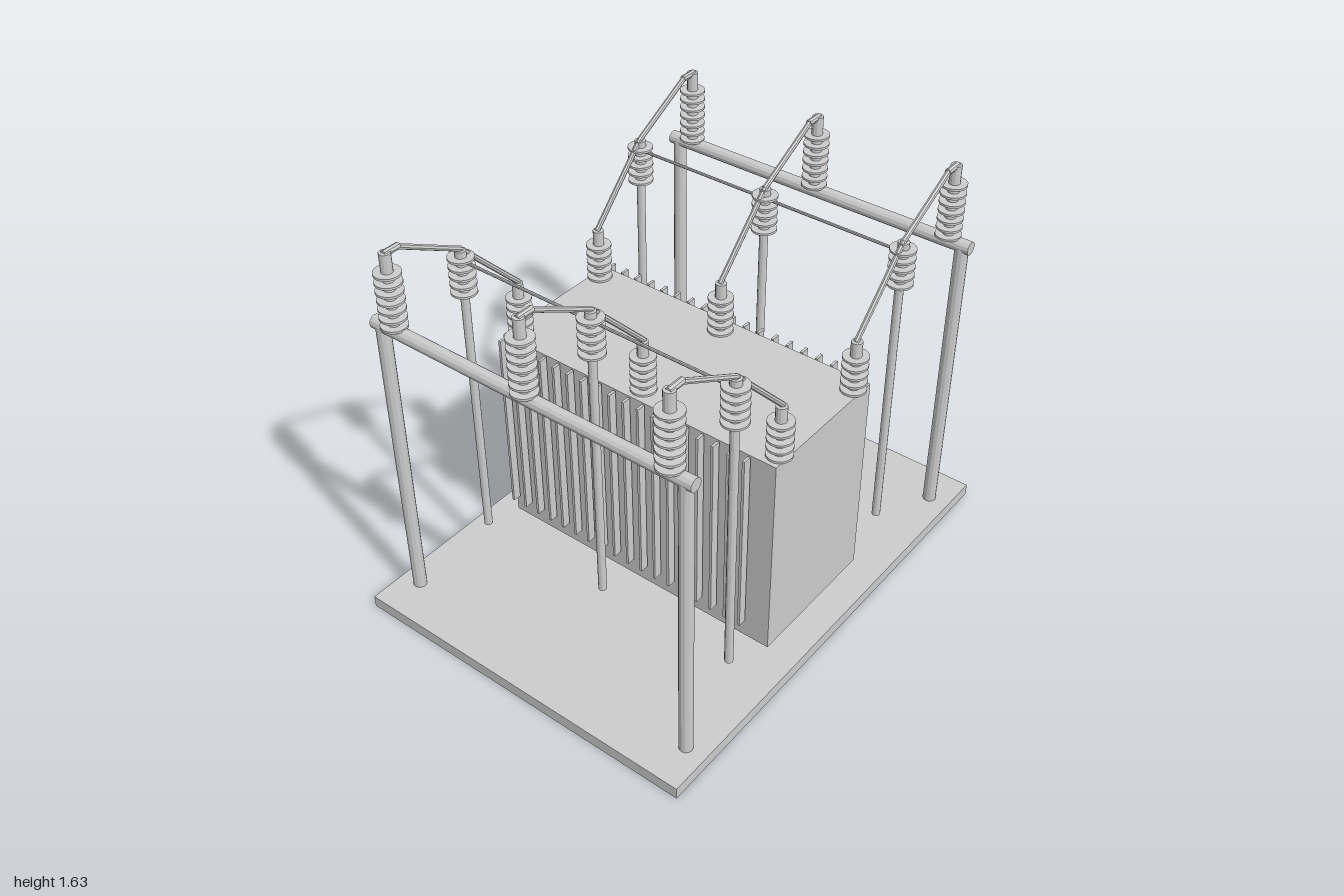
import * as THREE from 'three';

export function createModel() {
  const model = new THREE.Group();
  model.name = 'powerTransformer';
  const steel = new THREE.MeshStandardMaterial({ color: 0xcccccc, flatShading: true });
  steel.name = 'light grey';

  const add = (parent, name, geometry, x = 0, y = 0, z = 0) => {
    const mesh = new THREE.Mesh(geometry, steel);
    mesh.name = name;
    mesh.position.set(x, y, z);
    parent.add(mesh);
    return mesh;
  };

  // round bar between two points
  const up = new THREE.Vector3(0, 1, 0);
  const rod = (parent, name, from, to, radius, sides = 12) => {
    const a = new THREE.Vector3(...from), b = new THREE.Vector3(...to);
    const dir = b.clone().sub(a);
    const mid = a.clone().add(b).multiplyScalar(0.5);
    const bar = add(parent, name, new THREE.CylinderGeometry(radius, radius, dir.length(), sides), mid.x, mid.y, mid.z);
    bar.quaternion.setFromUnitVectors(up, dir.normalize());
  };

  // core with a stack of evenly spaced sheds
  const insulator = (parent, name, x, z, bottom, top, firstShed, count) => {
    const group = new THREE.Group();
    group.name = name;
    parent.add(group);
    rod(group, 'core', [x, bottom, z], [x, top, z], 0.022);
    for (let i = 0; i < count; i++) {
      add(group, 'shed', new THREE.CylinderGeometry(0.05, 0.05, 0.009, 20), x, firstShed + i * 0.0357, z);
    }
  };

  // foundation and tank
  add(model, 'basePlate', new THREE.BoxGeometry(2, 0.05, 1.5), 0, 0.025, 0);
  add(model, 'tank', new THREE.BoxGeometry(0.594, 0.885, 1.264), 0, 0.5225, 0);

  for (const s of [1, -1]) {
    const side = new THREE.Group();
    side.name = s > 0 ? 'leftSide' : 'rightSide';
    model.add(side);

    // cooling fins, standing just clear of the tank
    for (let i = 0; i < 18; i++) {
      add(side, 'coolingFin', new THREE.BoxGeometry(0.035, 0.8, 0.011), s * 0.322, 0.565, 0.525 - i * 0.0669);
    }

    // portal frame
    for (const z of [0.663, -0.663]) rod(side, 'framePost', [s * 0.835, 0.05, z], [s * 0.835, 1.3, z], 0.027);
    rod(side, 'frameBeam', [s * 0.835, 1.3, -0.7], [s * 0.835, 1.3, 0.7], 0.027);

    // cross bar joining the middle insulators
    rod(side, 'crossBar', [s * 0.5, 1.417, -0.6], [s * 0.5, 1.417, 0.6], 0.006, 8);

    // one line of insulators and conductor per phase
    for (const z of [-0.6, 0, 0.6]) {
      insulator(side, 'tankBushing', s * 0.232, z, 0.96, 1.18, 0.97, 5);
      insulator(side, 'poleInsulator', s * 0.5, z, 1.28, 1.46, 1.287, 5);
      insulator(side, 'beamInsulator', s * 0.835, z, 1.3, 1.62, 1.326, 7);
      rod(side, 'supportPole', [s * 0.5, 0.165, z], [s * 0.5, 1.29, z], 0.017);
      rod(side, 'lowerConductor', [s * 0.225, 1.18, z], [s * 0.5, 1.465, z], 0.011, 8);
      rod(side, 'upperConductor', [s * 0.495, 1.462, z], [s * 0.782, 1.617, z], 0.011, 8);
      rod(side, 'topTerminal', [s * 0.772, 1.616, z], [s * 0.842, 1.616, z], 0.013, 8);
    }
  }
  return model;
}
